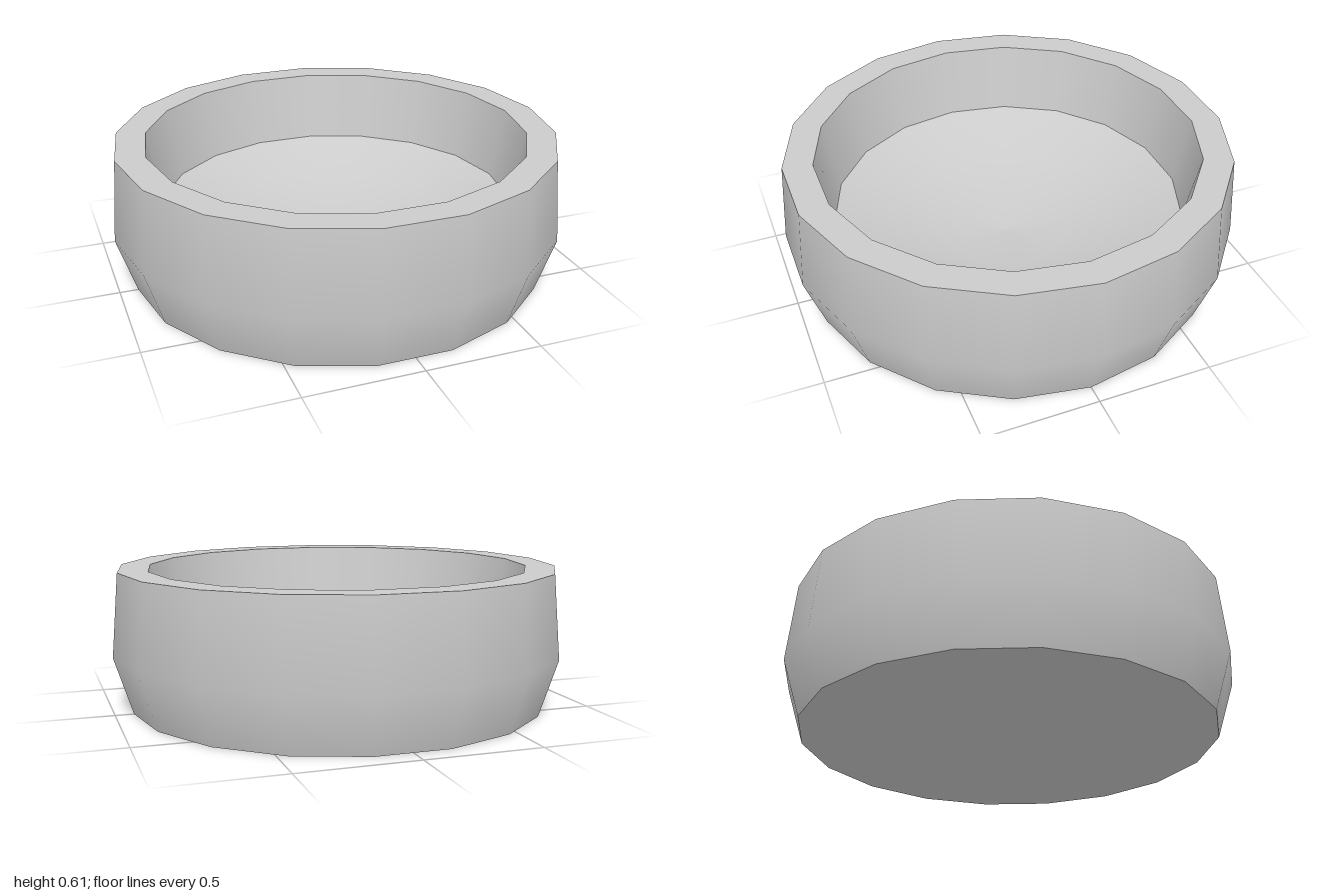
import * as THREE from 'three';

const SIDES = 18;

// Each zone is a separate lathe so edges between zones stay sharp.
// Profiles run [radius, height], anticlockwise from the base to the bowl centre.
const ZONES = {
  base: [[0, 0], [0.92, 0]],
  outerWall: [[0.92, 0], [1, 0.25], [0.97, 0.612]],
  rim: [[0.97, 0.612], [0.84, 0.612]],
  innerWall: [[0.84, 0.612], [0.78, 0.3]],
  dishedFloor: [[0.78, 0.3], [0.52, 0.2], [0.26, 0.14], [0, 0.12]],
};

export function createModel() {
  const bowl = new THREE.Group();
  bowl.name = 'bowl';
  const material = new THREE.MeshStandardMaterial({ color: 0xcccccc });

  for (const [name, profile] of Object.entries(ZONES)) {
    const points = profile.map(([r, y]) => new THREE.Vector2(r, y));
    // Start at +x so that corners lie on the x axis
    const geometry = new THREE.LatheGeometry(points, SIDES, Math.PI / 2);
    const mesh = new THREE.Mesh(geometry, material);
    mesh.name = name;
    bowl.add(mesh);
  }
  return bowl;
}
